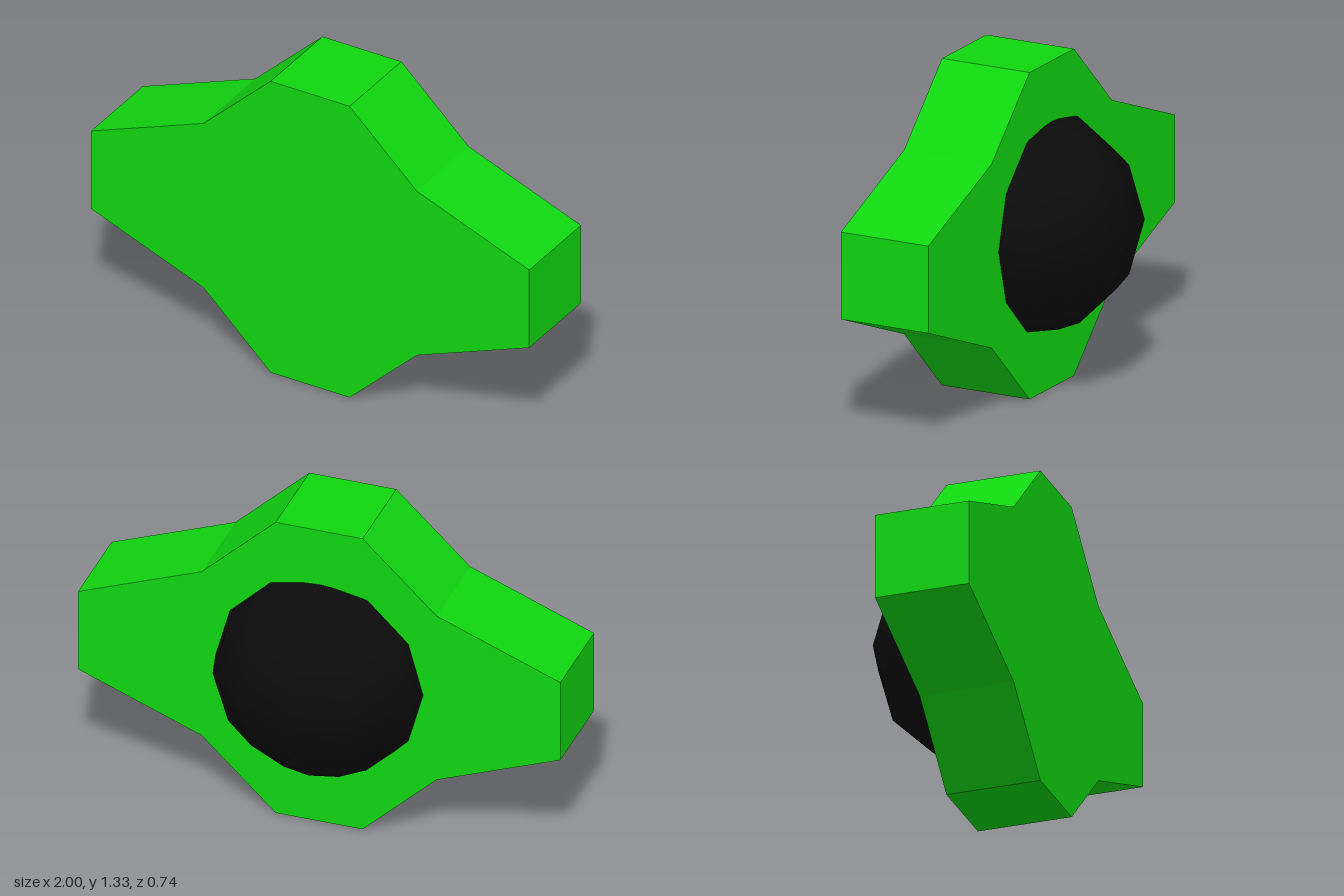
import * as THREE from 'three';

export function createModel() {
  const model = new THREE.Group();
  const green = new THREE.MeshStandardMaterial({ color: 0x10d610 });
  green.name = 'bright green';
  const black = new THREE.MeshStandardMaterial({ color: 0x0b0b0b });
  black.name = 'black';

  const midY = 0.667, backZ = -0.02, frontZ = 0.37;

  // Body: a thick plate whose outline is one quarter mirrored both ways
  const quarter = [[1, 0.178], [0.487, 0.376], [0.18, 0.667]];
  const reversed = [...quarter].reverse();
  const outline = [
    ...quarter,
    ...reversed.map(([x, y]) => [-x, y]),
    ...quarter.map(([x, y]) => [-x, -y]),
    ...reversed.map(([x, y]) => [x, -y]),
  ].map(([x, y]) => new THREE.Vector2(x, y));
  const plate = new THREE.ExtrudeGeometry(new THREE.Shape(outline), {
    depth: frontZ - backZ,
    bevelEnabled: false,
  });
  const body = new THREE.Mesh(plate, green);
  body.name = 'body';
  body.position.set(0, midY, backZ);
  model.add(body);

  // Dome: rear half of a coarse sphere, its open rim buried in the body
  const dome = new THREE.Mesh(
    new THREE.SphereGeometry(1, 6, 6, Math.PI, Math.PI).scale(0.459, 0.446, 0.45),
    black
  );
  dome.name = 'rearDome';
  dome.position.set(0, midY, 0.082);
  model.add(dome);

  return model;
}
